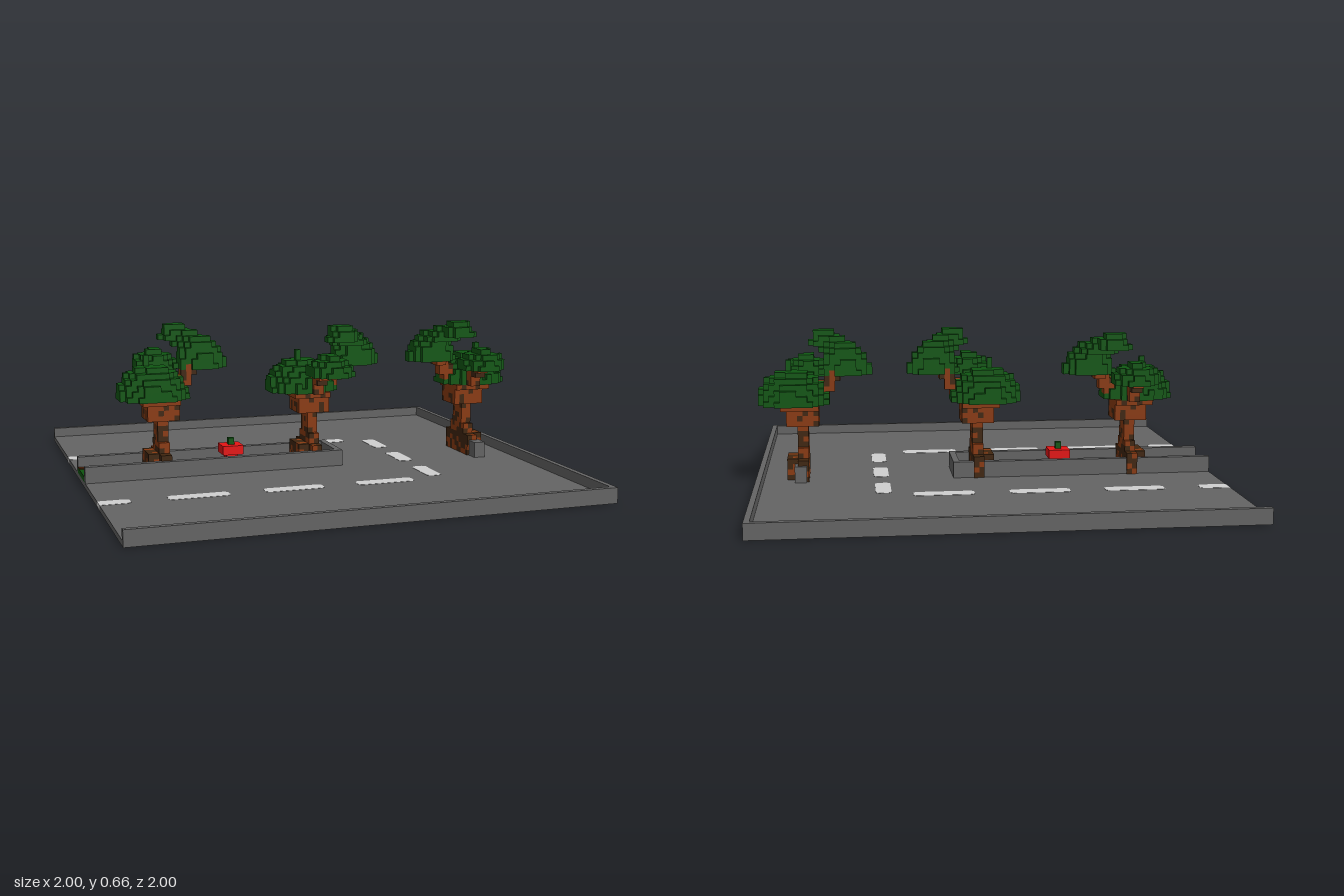
import * as THREE from 'three';

const U = 2 / 85; // voxel edge
const mat = (name, color) => {
  const m = new THREE.MeshStandardMaterial({ color });
  m.name = name;
  return m;
};

export function createModel() {
  const M = {
    asphalt: mat('asphalt', 0x646464),
    paint: mat('lane paint', 0xd0d0d0),
    grass: mat('grass', 0x0d550f),
    leaf: mat('leaf', 0x0f5712),
    bark: mat('bark', 0x8a3a10),
    darkBark: mat('dark bark', 0x40260f),
    soil: mat('soil', 0x50260d),
    red: mat('flower red', 0xe61414),
  };
  const root = new THREE.Group();
  root.name = 'roadWithTrees';

  // Box given by its low and high corners
  const box = (name, m, x0, x1, y0, y1, z0, z1) => {
    const mesh = new THREE.Mesh(new THREE.BoxGeometry(x1 - x0, y1 - y0, z1 - z0), m);
    mesh.position.set((x0 + x1) / 2, (y0 + y1) / 2, (z0 + z1) / 2);
    mesh.name = name;
    root.add(mesh);
  };

  // Road floor with a rim on three sides
  box('roadFloor', M.asphalt, -1, 1, 0.001, U, -1, 1);
  box('backRim', M.asphalt, -1, 1, 0.001, 3 * U - 0.004, -1, -1 + U);
  box('frontRim', M.asphalt, -1, 1, 0.001, 3 * U - 0.004, 1 - U, 1);
  box('leftRim', M.asphalt, 1 - U, 1, 0.001, 3 * U - 0.004, -1 + U, 1 - U);

  // Lane dashes with clipped corners, running through the floor
  const dash = (x0, x1, z0, z1, cutLeft = false) => {
    const c = 0.013, l = cutLeft ? 0 : c;
    const pts = [[x0 + l, -z0], [x0, -z0 - l], [x0, -z1 + l], [x0 + l, -z1],
      [x1 - c, -z1], [x1, -z1 + c], [x1, -z0 - c], [x1 - c, -z0]];
    const s = new THREE.Shape(pts.map(p => new THREE.Vector2(...p)));
    const g = new THREE.ExtrudeGeometry(s, { depth: U + 0.001, bevelEnabled: false });
    g.rotateX(-Math.PI / 2);
    const mesh = new THREE.Mesh(g, M.paint);
    mesh.name = 'laneDash';
    root.add(mesh);
  };
  for (const z of [-0.473, 0.405]) {
    dash(-1, -0.872, z, z + 0.066, true);
    for (let i = 0; i < 3; i++) dash(-0.72 + 0.405 * i, -0.464 + 0.405 * i, z, z + 0.066);
  }
  for (const z of [-0.41, -0.098, 0.215]) dash(0.434, 0.5, z, z + 0.19);

  // Planted median, open at the road's edge
  const top = 4 * U;
  box('medianBackCurb', M.asphalt, -1, 0.153, U, top, -0.157, -0.128);
  box('medianFrontCurb', M.asphalt, -1, 0.153, U, top, 0.058, 0.088);
  box('medianEndCurb', M.asphalt, 0.125, 0.153, U, top, -0.128, 0.058);
  box('grassStrip', M.grass, -1, 0.125, U, 2 * U, -0.128, 0.058);
  const soil = [[-1, -0.97, -0.12, -0.09], [-0.96, -0.81, -0.1, -0.07], [-0.94, -0.83, -0.07, -0.02],
    [-0.56, -0.5, -0.06, -0.02], [-0.5, -0.32, -0.03, 0.02], [-0.44, -0.36, 0.02, 0.056]];
  for (const [x0, x1, z0, z1] of soil) box('soilPatch', M.soil, x0, x1, 2 * U, 2 * U + 0.004, z0, z1);

  // Red flower
  box('flowerStem', M.leaf, -0.342, -0.316, 2 * U, 0.155, -0.063, -0.037);
  box('flowerHead', M.red, -0.376, -0.282, 0.085, 0.125, -0.097, -0.003);
  box('flowerBase', M.red, -0.355, -0.303, 2 * U, 0.085, -0.076, -0.024);

  // Short curb beside the lone tree
  box('loneCurb', M.asphalt, 0.79, 0.842, U, top, -0.178, 0.128);

  const hash = (i, j, k) => (((i * 73856093) ^ (j * 19349663) ^ (k * 83492791)) >>> 0) % 100 / 100;

  // Voxel tree, mirrored by mx and mz
  const tree = (name, px, mx, mz) => {
    const cells = new Map();
    const put = (i, j, k, m, keep) => {
      const key = `${mx < 0 ? -1 - i : i},${j},${mz < 0 ? -1 - k : k}`;
      if (!(keep && cells.has(key))) cells.set(key, m);
    };
    // Visit all cells whose centres lie in a box
    const scan = (x, y, z, rx, ry, rz, fn) => {
      for (let i = Math.floor((x - rx) / U); i <= (x + rx) / U; i++)
        for (let j = Math.max(1, Math.floor((y - ry) / U)); j <= (y + ry) / U; j++)
          for (let k = Math.floor((z - rz) / U); k <= (z + rz) / U; k++)
            fn(i, j, k, (i + 0.5) * U - x, (j + 0.5) * U - y, (k + 0.5) * U - z);
    };
    const barkAt = (i, j, k) => hash(i, j, k) < (j < 5 ? 0.75 : j < 10 ? 0.4 : 0.2) ? 'darkBark' : 'bark';
    const wood = (x, y, z, rx, ry, rz) => scan(x, y, z, rx, ry, rz, (i, j, k, a, b, c) => {
      if (Math.abs(a) <= rx && Math.abs(b) <= ry && Math.abs(c) <= rz) put(i, j, k, barkAt(i, j, k));
    });
    // Hollow leafy dome with a flat underside
    const dome = (x, y, z, rx, h, rz) => scan(x, y, z, rx, h, rz, (i, j, k, a, b, c) => {
      const q = (a / rx) ** 2 + (b / h) ** 2 + (c / rz) ** 2;
      if (b > 0 && q < 1.04 - 0.14 * hash(i, j, k) && q > 0.3) put(i, j, k, 'leaf', true);
    });
    const branch = (x, y, z) => {
      for (let t = 0; t <= 1; t += 0.1) wood(x * t, 0.31 + (y - 0.31) * t, z * t, 0.026, 0.022, 0.026);
    };

    // Roots, trunk, crown of the trunk and branches
    wood(0, 0.07, 0, 0.03, 0.05, 0.125);
    wood(-0.02, 0.08, 0, 0.055, 0.045, 0.07);
    wood(0, 0.13, 0, 0.028, 0.03, 0.08);
    wood(0, 0.2, 0, 0.028, 0.09, 0.055);
    wood(0, 0.31, 0, 0.06, 0.04, 0.065);
    wood(-0.01, 0.34, 0, 0.08, 0.015, 0.085);
    branch(0.18, 0.5, 0.045);
    branch(0.01, 0.46, 0.21);
    branch(-0.05, 0.42, -0.02);

    // Leaf clusters
    dome(-0.04, 0.352, -0.015, 0.16, 0.15, 0.13);
    dome(0.02, 0.44, 0.228, 0.105, 0.1, 0.105);
    dome(0.19, 0.47, 0.05, 0.112, 0.15, 0.072);
    dome(0.15, 0.565, 0.095, 0.08, 0.07, 0.05);
    dome(0.1, 0.588, 0.155, 0.075, 0.08, 0.06);
    for (const [x, y, z] of [[-0.06, 0.5, 0], [-0.06, 0.525, 0], [0.02, 0.54, 0.23]])
      put(Math.floor(x / U), Math.floor(y / U), Math.floor(z / U), 'leaf');

    // Exposed faces, gathered by colour
    const faces = { leaf: [], bark: [], darkBark: [] };
    for (const [key, m] of cells) {
      const p = key.split(',').map(Number);
      for (let a = 0; a < 3; a++) for (const s of [-1, 1]) {
        const n = [...p];
        n[a] += s;
        if (cells.has(n.join(','))) continue;
        const b = (a + 1) % 3, c = (a + 2) % 3;
        const corner = (v, w) => {
          const q = [...p];
          q[a] += s > 0 ? 1 : 0;
          q[b] += v;
          q[c] += w;
          return q.map(t => t * U);
        };
        const loop = [corner(0, 0), corner(1, 0), corner(1, 1), corner(0, 1)];
        if (s < 0) loop.reverse();
        for (const t of [0, 1, 2, 0, 2, 3]) faces[m].push(...loop[t]);
      }
    }
    const g = new THREE.Group();
    g.name = name;
    for (const m in faces) {
      const geo = new THREE.BufferGeometry();
      geo.setAttribute('position', new THREE.Float32BufferAttribute(faces[m], 3));
      geo.computeVertexNormals();
      const mesh = new THREE.Mesh(geo, M[m]);
      mesh.name = { leaf: 'leaves', bark: 'trunk', darkBark: 'trunkShadowBark' }[m];
      g.add(mesh);
    }
    g.position.set(px, 0, -0.048);
    root.add(g);
  };
  tree('medianOuterTree', -0.645, 1, -1);
  tree('medianInnerTree', 0.04, 1, 1);
  tree('loneTree', 0.805, -1, 1);

  return root;
}
